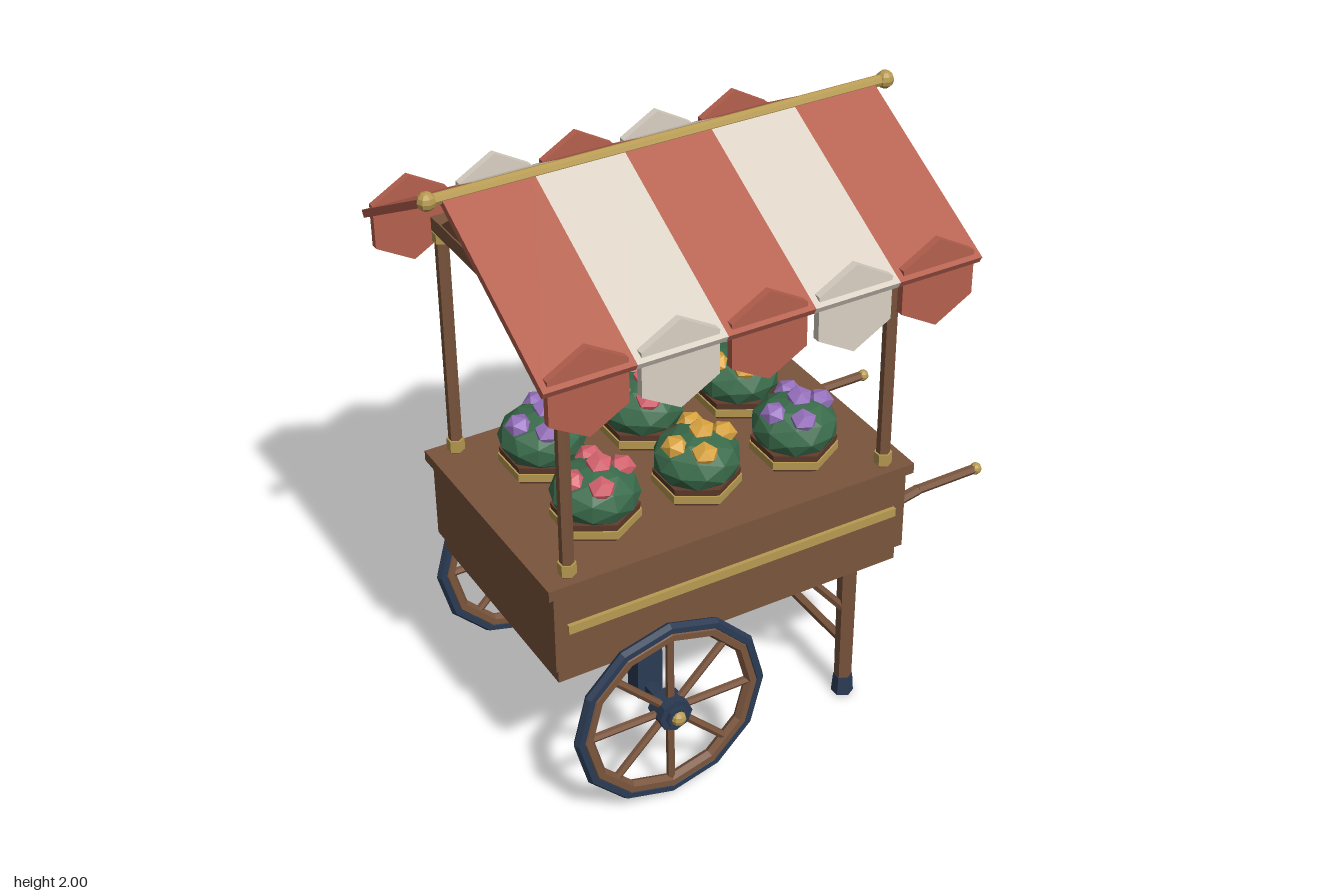
import * as THREE from 'three';
import { toCreasedNormals } from 'three/addons/utils/BufferGeometryUtils.js';

const material = (name, color) => {
  const m = new THREE.MeshStandardMaterial({ color });
  m.name = name;
  return m;
};

export function createModel() {
  const wood = material('wood', 0x7a553d);
  const darkWood = material('dark wood', 0x623c2c);
  const red = material('awning red', 0xb5604e);
  const cream = material('awning cream', 0xdad1c4);
  const brass = material('brass', 0xb89b52);
  const iron = material('blue iron', 0x2b3b54);
  const leaf = material('leaf green', 0x3a6b4b);
  const pink = material('pink petals', 0xd4636e);
  const yellow = material('yellow petals', 0xd9a440);
  const purple = material('purple petals', 0x9670bd);

  const cart = new THREE.Group();
  cart.name = 'flowerCart';

  // Faceted mesh helper
  const add = (parent, name, geo, mat, x = 0, y = 0, z = 0) => {
    const mesh = new THREE.Mesh(toCreasedNormals(geo, 0.1), mat);
    mesh.name = name;
    mesh.position.set(x, y, z);
    parent.add(mesh);
    return mesh;
  };
  const box = (parent, name, w, h, d, mat, x, y, z) =>
    add(parent, name, new THREE.BoxGeometry(w, h, d), mat, x, y, z);
  const tube = (parent, name, rTop, rBottom, h, mat, x, y, z, sides = 6) =>
    add(parent, name, new THREE.CylinderGeometry(rTop, rBottom, h, sides), mat, x, y, z);
  // Straight rod between two points
  const rod = (parent, name, a, b, r, mat, sides = 6) => {
    const p = new THREE.Vector3(...a), q = new THREE.Vector3(...b);
    const dir = q.clone().sub(p);
    const mesh = tube(parent, name, r, r, dir.length(), mat, 0, 0, 0, sides);
    mesh.position.copy(p).add(q).multiplyScalar(0.5);
    mesh.quaternion.setFromUnitVectors(new THREE.Vector3(0, 1, 0), dir.normalize());
    return mesh;
  };
  const knob = (parent, name, r, mat, x, y, z) =>
    add(parent, name, new THREE.SphereGeometry(r, 8, 6), mat, x, y, z);

  // Cart body
  const body = new THREE.Group();
  body.name = 'body';
  cart.add(body);
  box(body, 'counterTop', 1.26, 0.035, 0.825, wood, -0.1, 0.8625, 0);
  box(body, 'chest', 1.22, 0.275, 0.8, wood, -0.1, 0.7075, 0);
  box(body, 'chestBase', 1.19, 0.06, 0.765, wood, -0.1, 0.543, 0);

  // Awning frame and cloth
  const frame = new THREE.Group();
  frame.name = 'awningFrame';
  const awning = new THREE.Group();
  awning.name = 'awning';
  cart.add(frame, awning);
  for (const x of [-0.645, 0.445]) {
    box(frame, 'crossBeam', 0.04, 0.045, 0.73, wood, x, 1.672, 0);
    const tri = new THREE.Shape([[-0.345, 1.68], [0.345, 1.68], [0, 1.935]].map(p => new THREE.Vector2(...p)));
    const gable = new THREE.ExtrudeGeometry(tri, { depth: 0.03, bevelEnabled: false });
    add(frame, 'gable', gable.rotateY(Math.PI / 2), wood, x - 0.015, 0, 0);
    for (const z of [-0.365, 0.365]) {
      tube(frame, 'post', 0.0215, 0.0215, 0.8, wood, x, 1.28, z);
      tube(frame, 'lowerCollar', 0.028, 0.028, 0.04, brass, x, 0.907, z);
      tube(frame, 'upperCollar', 0.027, 0.027, 0.03, brass, x, 1.635, z);
    }
  }
  const pitch = Math.atan2(0.31, 0.57);
  for (const s of [-1, 1]) {
    box(frame, 'sideBeam', 1.13, 0.045, 0.045, wood, -0.1, 1.672, s * 0.365);
    for (let i = 0; i < 5; i++) {
      const mat = i % 2 ? cream : red;
      const x = -0.66 + i * 0.28;
      const panel = box(awning, 'awningStripe', 0.28, 0.024, 0.65, mat, x, 1.81, s * 0.285);
      panel.rotation.x = s * pitch;
      const flap = new THREE.CylinderGeometry(0.14, 0.14, 0.024, 6).rotateX(Math.PI / 2);
      add(awning, 'valanceFlap', flap, mat, x, 1.617, s * 0.55);
    }
  }
  rod(awning, 'ridgePole', [-0.84, 1.972, 0], [0.645, 1.972, 0], 0.018, brass, 8);
  for (const x of [-0.84, 0.645]) knob(awning, 'ridgeKnob', 0.028, brass, x, 1.972, 0);

  // Parts mirrored front and back
  for (const s of [-1, 1]) {
    box(body, 'trimStrip', 1.14, 0.03, 0.03, brass, -0.1, 0.718, s * 0.398);

    // Push handle with a bend
    const bend = [0.62, 0.692, s * 0.32];
    rod(body, 'handleRoot', [0.5, 0.667, s * 0.32], bend, 0.018, wood);
    rod(body, 'handleBar', bend, [0.84, 0.694, s * 0.32], 0.016, wood);
    knob(body, 'handleTip', 0.02, brass, 0.845, 0.694, s * 0.32);

    // Leg, foot and brace
    tube(cart, 'leg', 0.031, 0.028, 0.47, wood, 0.353, 0.285, s * 0.335);
    tube(cart, 'foot', 0.031, 0.036, 0.068, iron, 0.353, 0.034, s * 0.335);
    rod(cart, 'legBrace', [0.345, 0.34, s * 0.335], [0.19, 0.53, s * 0.335], 0.015, wood);

    // Axle hanger
    box(cart, 'axleHanger', 0.085, 0.22, 0.065, iron, -0.37, 0.415, s * 0.318);

    // Wheel
    const wheel = new THREE.Group();
    wheel.name = 'wheel';
    wheel.position.set(-0.37, 0.335, s * 0.47);
    cart.add(wheel);
    add(wheel, 'tire', new THREE.TorusGeometry(0.309, 0.019, 6, 12), iron);
    add(wheel, 'rim', new THREE.TorusGeometry(0.284, 0.021, 6, 12), wood);
    for (let i = 0; i < 8; i++) {
      const a = i * Math.PI / 4, c = Math.cos(a), n = Math.sin(a);
      rod(wheel, 'spoke', [0.03 * c, 0.03 * n, 0], [0.28 * c, 0.28 * n, 0], 0.013, wood);
    }
    rod(wheel, 'hub', [0, 0, -0.037], [0, 0, 0.037], 0.056, iron, 8);
    rod(wheel, 'hubCollar', [0, 0, 0], [0, 0, s * 0.052], 0.036, iron, 8);
    knob(wheel, 'hubCap', 0.026, brass, 0, 0, s * 0.047);
  }
  rod(cart, 'axle', [-0.37, 0.335, -0.49], [-0.37, 0.335, 0.49], 0.022, iron);
  rod(cart, 'legStretcher', [0.353, 0.2, -0.33], [0.353, 0.2, 0.33], 0.015, wood);

  // Flower tubs: two rows of three
  const blooms = [[0.082, 1.05, 0.015], [-0.02, 1.045, 0.08], [-0.08, 1.052, 0.01],
    [0.025, 1.05, -0.078], [0.015, 1.073, 0]];
  const rows = [[0.168, [pink, yellow, purple]], [-0.168, [purple, pink, yellow]]];
  for (const [z, petals] of rows) {
    petals.forEach((petal, i) => {
      const tub = new THREE.Group();
      tub.name = 'flowerTub';
      tub.position.set(-0.445 + i * 0.3465, 0, z);
      cart.add(tub);
      tube(tub, 'tub', 0.134, 0.126, 0.06, darkWood, 0, 0.91, 0);
      tube(tub, 'tubBand', 0.137, 0.137, 0.026, brass, 0, 0.905, 0);
      const bush = add(tub, 'bush', new THREE.IcosahedronGeometry(0.137, 1), leaf, 0, 0.985, 0);
      bush.scale.y = 0.68;
      bush.rotation.y = i * 0.7;
      blooms.forEach(([x, y, dz], k) => {
        const bloom = add(tub, 'bloom', new THREE.IcosahedronGeometry(0.044, 0), petal, x, y, dz);
        bloom.scale.y = 0.8;
        bloom.rotation.y = k * 1.1;
      });
    });
  }
  return cart;
}
